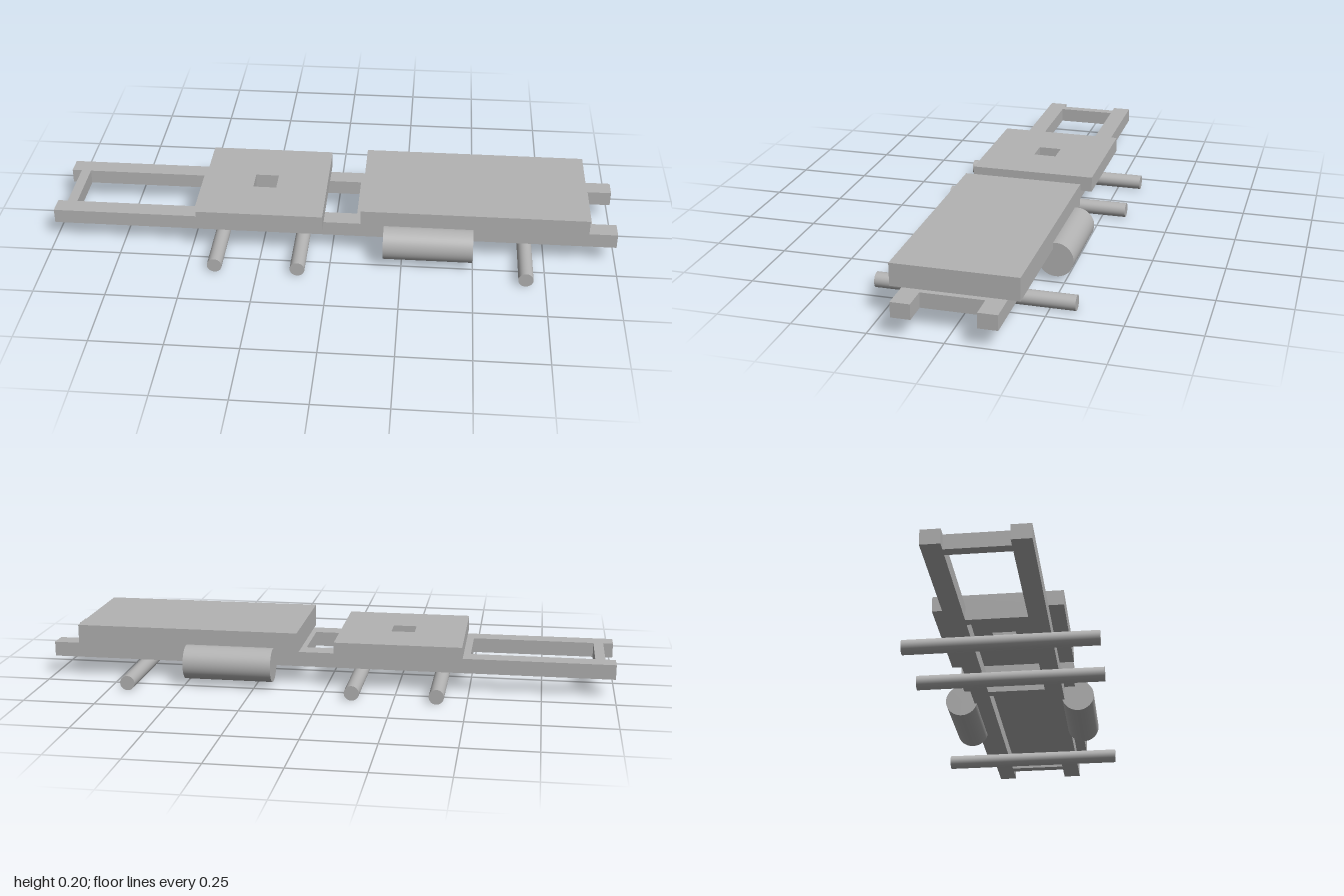
import * as THREE from 'three';

const grey = new THREE.MeshStandardMaterial({ color: 0xb3b3b3 });
grey.name = 'plain grey';

function rect(target, x0, x1, z0, z1) {
  target.moveTo(x0, z0);
  target.lineTo(x1, z0);
  target.lineTo(x1, z1);
  target.lineTo(x0, z1);
  target.closePath();
  return target;
}

export function createModel() {
  const model = new THREE.Group();
  model.name = 'truckChassis';

  function add(name, geometry, x = 0, y = 0, z = 0) {
    const mesh = new THREE.Mesh(geometry, grey);
    mesh.name = name;
    mesh.position.set(x, y, z);
    model.add(mesh);
    return mesh;
  }

  // Flat slab, extruded upward from y0 to y1
  function slab(name, shape, y0, y1) {
    const geometry = new THREE.ExtrudeGeometry(shape, { depth: y1 - y0, bevelEnabled: false });
    geometry.rotateX(-Math.PI / 2);
    add(name, geometry, 0, y0, 0);
  }

  // Ladder frame: two rails joined by four crossmembers, open at both ends
  const railTop = 0.117, railBottom = 0.065;
  const cross = [[-0.965, -0.93], [-0.5, -0.465], [0.085, 0.12], [0.88, 0.915]];
  const outer = 0.17, inner = 0.105;
  const frame = new THREE.Shape([
    [-1, -outer], [1, -outer], [1, -inner], [0.915, -inner], [0.915, inner], [1, inner],
    [1, outer], [-1, outer], [-1, inner], [-0.965, inner], [-0.965, -inner], [-1, -inner],
  ].map(([x, z]) => new THREE.Vector2(x, z)));
  for (let i = 0; i < cross.length - 1; i++) {
    frame.holes.push(rect(new THREE.Path(), cross[i][1], cross[i + 1][0], -inner, inner));
  }
  slab('ladderFrame', frame, railBottom, railTop);

  // Rear plate with a square opening
  const plate = rect(new THREE.Shape(), -0.475, -0.03, -0.222, 0.222);
  plate.holes.push(rect(new THREE.Path(), -0.295, -0.212, -0.041, 0.041));
  slab('couplingPlate', plate, railTop, 0.171);

  // Thicker solid deck
  slab('cabDeck', rect(new THREE.Shape(), 0.103, 0.895, -0.21, 0.21), railTop, 0.195);

  // Axles across the frame
  for (const x of [-0.398, -0.108, 0.682]) {
    const axle = new THREE.CylinderGeometry(0.026, 0.026, 0.672, 32).rotateX(Math.PI / 2);
    add('axle', axle, x, 0.026, 0);
  }

  // Side tanks
  for (const side of [-1, 1]) {
    const tank = new THREE.CylinderGeometry(0.06, 0.06, 0.312, 48).rotateZ(Math.PI / 2);
    add(side > 0 ? 'frontTank' : 'backTank', tank, 0.341, 0.08, side * 0.22);
  }

  return model;
}
